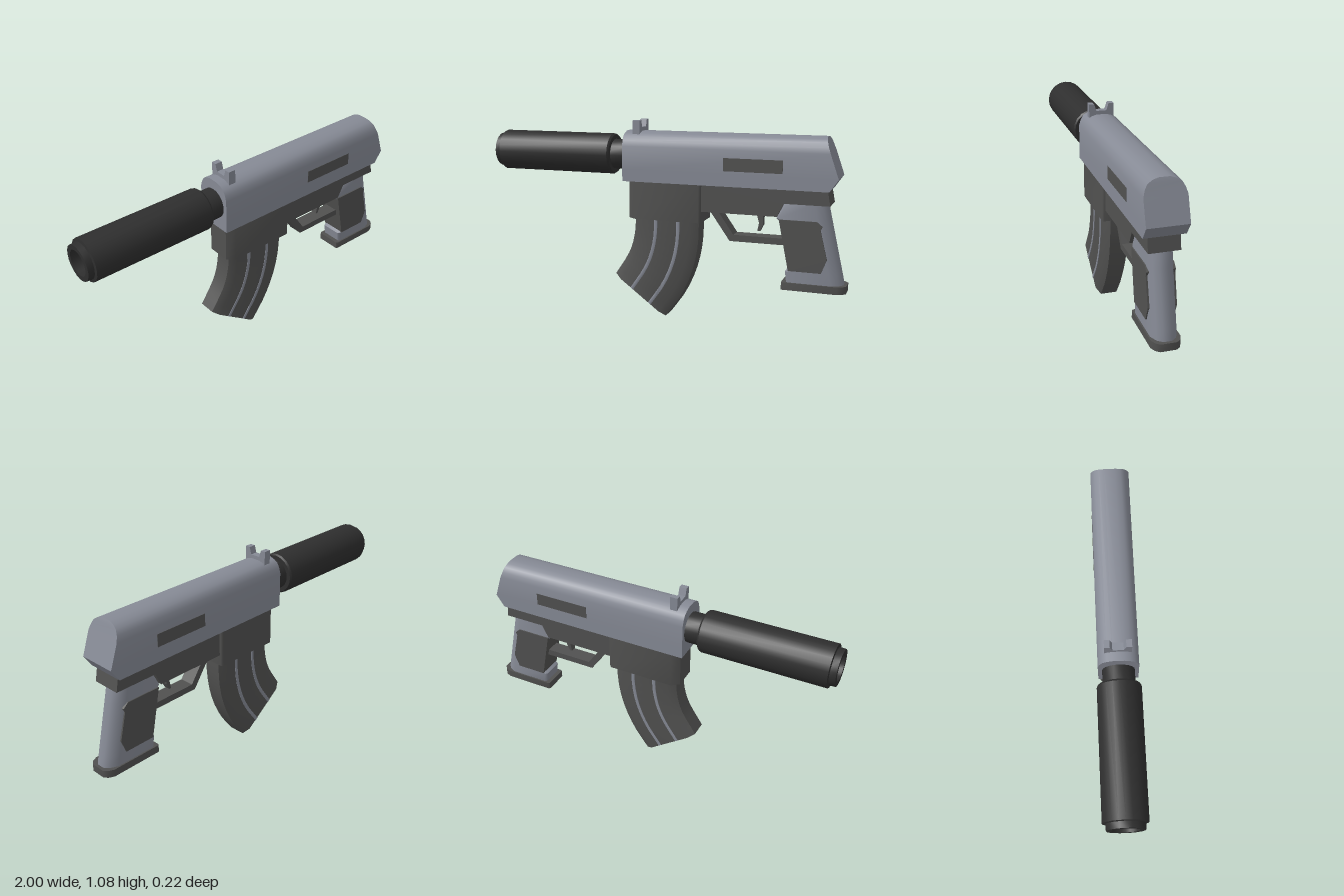
import * as THREE from 'three';
import { toCreasedNormals } from 'three/addons/utils/BufferGeometryUtils.js';

const mat = (name, color) => new THREE.MeshStandardMaterial({ name, color });

// Skin a list of convex rings (same point count) and close both ends
function loft(rings, crease = 0.8) {
  const n = rings[0].length, last = (rings.length - 1) * n, idx = [];
  for (let r = 0; r < rings.length - 1; r++)
    for (let i = 0; i < n; i++) {
      const a = r * n + i, b = r * n + (i + 1) % n;
      idx.push(a, b, b + n, a, b + n, a + n);
    }
  for (let i = 1; i < n - 1; i++) idx.push(0, i + 1, i, last, last + i, last + i + 1);
  // turn the faces outward if the rings ran the other way round
  const p = rings.flat().map(v => new THREE.Vector3(...v));
  let volume = 0;
  for (let i = 0; i < idx.length; i += 3)
    volume += p[idx[i]].dot(p[idx[i + 1]].clone().cross(p[idx[i + 2]]));
  if (volume < 0) idx.reverse();
  const g = new THREE.BufferGeometry();
  g.setAttribute('position', new THREE.Float32BufferAttribute(rings.flat(2), 3));
  g.setIndex(idx);
  return toCreasedNormals(g, crease);
}

// Side outline in x, y, extruded evenly about z = 0
function slab(points, half) {
  const shape = new THREE.Shape(points.map(p => new THREE.Vector2(...p)));
  return new THREE.ExtrudeGeometry(shape, { depth: half * 2, bevelEnabled: false })
    .translate(0, 0, -half);
}

// Horizontal ring with softened front corners (f) and rounded rear corners (b)
function planRing(y, x0, x1, h, f, b) {
  const side = [[x0, h - f * 0.8], [x0 + f, h], [x1 - b, h], [x1 - b * 0.35, h - b * 0.3], [x1, h - b * 0.75]];
  return [...side, ...side.map(([x, z]) => [x, -z]).reverse()].map(([x, z]) => [x, y, z]);
}

export function createModel() {
  const group = new THREE.Group();
  const steel = mat('blue grey steel', 0x868a95);
  const dark = mat('dark grey', 0x515150);
  const black = mat('charcoal', 0x2e2e2e);
  const add = (name, geometry, material) => {
    const m = new THREE.Mesh(geometry, material);
    m.name = name;
    group.add(m);
    return m;
  };

  // Upper body: rectangles stacked in y, rounded top and angled rear
  const levels = [[0.755, 0.9, 0.103], [0.82, 0.944, 0.103], [0.945, 0.9, 0.103], [0.975, 0.889, 0.094],
    [1.0, 0.881, 0.08], [1.014, 0.876, 0.057], [1.023, 0.872, 0.028]];
  add('upperBody', loft(levels.map(([y, x, h]) =>
    [[-0.21, y, h], [x, y, h], [x, y, -h], [-0.21, y, -h]])), steel);

  // Side ports
  for (const s of [1, -1]) {
    const port = add('sidePort', new THREE.BoxGeometry(0.31, 0.068, 0.006), dark);
    port.position.set(0.51, 0.87, s * 0.102);
  }

  // Notched sight across the top
  const sight = slab([[-0.068, 1.0], [0.068, 1.0], [0.068, 1.081], [0.04, 1.081], [0.028, 1.043],
    [-0.028, 1.043], [-0.04, 1.081], [-0.068, 1.081]], 0.02);
  add('sight', sight.rotateY(Math.PI / 2).translate(-0.142, 0, 0), steel);

  // Barrel sleeve with neck, stepped tip and open bore
  const sleeve = [[0.082, 0.2], [0.082, 0.29], [0.105, 0.29], [0.112, 0.3], [0.112, 0.965], [0.096, 0.968],
    [0.094, 1.0], [0.068, 1.0], [0.068, 0.93], [0, 0.93]];
  const lathe = new THREE.LatheGeometry(sleeve.map(p => new THREE.Vector2(...p)), 20);
  add('barrelSleeve', toCreasedNormals(lathe, 0.6).rotateZ(Math.PI / 2).translate(0, 0.89, 0), black);

  // Lower frame and magazine housing
  add('lowerFrame', slab([[0.2, 0.757], [0.2, 0.61], [0.635, 0.61], [0.67, 0.68], [0.905, 0.68], [0.89, 0.757]], 0.078), dark);
  const housing = y => planRing(y, -0.185, 0.23, 0.095, 0.04, 0.012);
  add('magazineHousing', loft([housing(0.55), housing(0.757)]), dark);

  // Curved magazine, swept between its front and rear edge curves
  const curve = pts => new THREE.CatmullRomCurve3(pts.map(([x, y]) => new THREE.Vector3(x, y, 0)));
  const front = curve([[-0.155, 0.6], [-0.16, 0.47], [-0.19, 0.36], [-0.277, 0.22]]);
  const rear = curve([[0.208, 0.6], [0.205, 0.43], [0.175, 0.28], [0.11, 0.13], [0.02, 0.002]]);
  const sweep = (f0, f1, half, inset, t1 = 1) => {
    const c = (f1 - f0) * 0.12;
    const side = [[f0, half - inset], [f0 + c, half], [f1 - c, half], [f1, half - inset]];
    const outline = [...side, ...side.map(([f, z]) => [f, -z]).reverse()];
    const rings = [];
    for (let i = 0; i <= 10; i++) {
      const a = front.getPoint(i / 10 * t1), b = rear.getPoint(i / 10 * t1);
      rings.push(outline.map(([f, z]) => [a.x + (b.x - a.x) * f, a.y + (b.y - a.y) * f, z]));
    }
    return loft(rings);
  };
  add('magazine', sweep(0, 1, 0.068, 0.022), dark);
  for (const f of [0.32, 0.67]) add('magazineRib', sweep(f, f + 0.05, 0.071, 0.001, 0.998), steel);

  // Trigger and guard
  add('triggerGuard', slab([[0.265, 0.615], [0.378, 0.455], [0.68, 0.455], [0.68, 0.49], [0.398, 0.49], [0.31, 0.615]], 0.04), dark);
  add('trigger', slab([[0.515, 0.615], [0.53, 0.56], [0.522, 0.515], [0.535, 0.515], [0.552, 0.55], [0.552, 0.615]], 0.018), dark);

  // Grip, rounded along the back
  const gripLevels = [[0.26, 0.69, 0.982], [0.322, 0.682, 0.968], [0.335, 0.705, 0.965], [0.57, 0.657, 0.911],
    [0.6, 0.63, 0.904], [0.685, 0.672, 0.885]];
  add('grip', loft(gripLevels.map(([y, x0, x1]) => planRing(y, x0, x1, 0.065, 0.012, 0.06))), steel);
  add('gripPanel', slab([[0.7, 0.328], [0.87, 0.328], [0.897, 0.4], [0.86, 0.55], [0.868, 0.57], [0.84, 0.595],
    [0.645, 0.595]], 0.071), dark);
  const base = y => planRing(y, 0.665, 0.997, 0.073, 0.008, 0.045);
  add('gripBase', loft([base(0.225), base(0.265)]), dark);

  return group;
}
